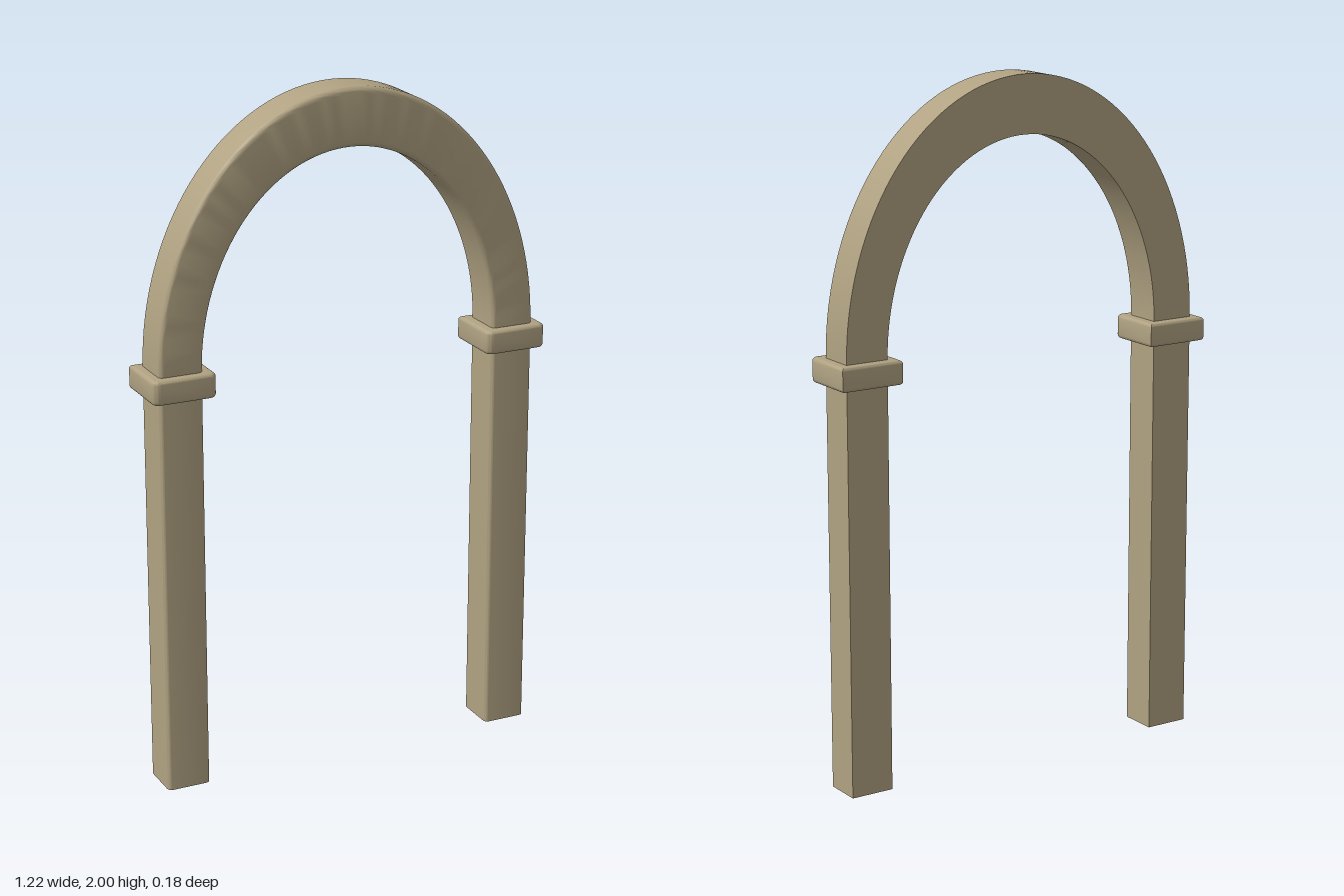
import * as THREE from 'three';
import { toCreasedNormals } from 'three/addons/utils/BufferGeometryUtils.js';

const CREASE = 0.5;

// Upright block whose two front vertical edges are rounded and back edges are sharp
function frontRoundedBlock(width, depth, height, radius, bevel) {
  const w = width / 2 - bevel, d = depth / 2 - bevel, r = radius;
  const s = new THREE.Shape();
  s.moveTo(w, d);
  s.lineTo(-w, d);
  s.lineTo(-w, -d + r);
  s.absarc(-w + r, -d + r, r, Math.PI, Math.PI * 1.5, false);
  s.lineTo(w - r, -d);
  s.absarc(w - r, -d + r, r, -Math.PI / 2, 0, false);
  s.closePath();
  const g = new THREE.ExtrudeGeometry(s, {
    depth: height - 2 * bevel, curveSegments: 5,
    bevelEnabled: bevel > 0, bevelSize: bevel, bevelThickness: bevel, bevelSegments: 4,
  });
  g.translate(0, 0, bevel);
  g.rotateX(-Math.PI / 2);
  return toCreasedNormals(g, CREASE);
}

// Half-elliptical band: a cross-section swept from the right springing to the left
function archBand(inner, outer, halfDepth, radius, segments) {
  const section = [[0, -halfDepth], [1, -halfDepth]]; // [inner-to-outer fraction, z]
  const du = 0.11, steps = 5;
  for (let i = 0; i <= steps; i++) {
    const a = (i / steps) * Math.PI / 2;
    section.push([1 - du + du * Math.cos(a), halfDepth - radius + radius * Math.sin(a)]);
  }
  for (let i = 0; i <= steps; i++) {
    const a = Math.PI / 2 + (i / steps) * Math.PI / 2;
    section.push([du + du * Math.cos(a), halfDepth - radius + radius * Math.sin(a)]);
  }
  const n = section.length, pos = [], index = [];
  for (let i = 0; i <= segments; i++) {
    const t = (i / segments) * Math.PI;
    for (const [u, z] of section) {
      const rx = inner[0] + (outer[0] - inner[0]) * u;
      const ry = inner[1] + (outer[1] - inner[1]) * u;
      pos.push(rx * Math.cos(t), ry * Math.sin(t), z);
    }
  }
  for (let i = 0; i < segments; i++) {
    for (let j = 0; j < n; j++) {
      const k = (j + 1) % n;
      const a = i * n + j, b = i * n + k, c = a + n, d = b + n;
      index.push(a, c, b, b, c, d);
    }
  }
  const g = new THREE.BufferGeometry();
  g.setAttribute('position', new THREE.Float32BufferAttribute(pos, 3));
  g.setIndex(index);
  return toCreasedNormals(g, CREASE);
}

export function createModel() {
  const stone = new THREE.MeshStandardMaterial({ color: 0xb0a282 });
  stone.name = 'sandstone';
  const model = new THREE.Group();
  model.name = 'archway';

  const add = (name, geometry, x, y) => {
    const mesh = new THREE.Mesh(geometry, stone);
    mesh.name = name;
    mesh.position.set(x, y, 0);
    model.add(mesh);
  };

  // Pillars and their capitals
  const pillar = frontRoundedBlock(0.13, 0.122, 1.19, 0.014, 0);
  const capital = frontRoundedBlock(0.19, 0.18, 0.07, 0.012, 0.01);
  for (const [side, sign] of [['left', 1], ['right', -1]]) {
    add(side + 'Pillar', pillar, sign * 0.517, 0);
    add(side + 'Capital', capital, sign * 0.516, 1.18);
  }

  // Arch springing from the capitals
  add('arch', archBand([0.452, 0.582], [0.582, 0.75], 0.061, 0.014, 64), 0, 1.25);
  return model;
}
